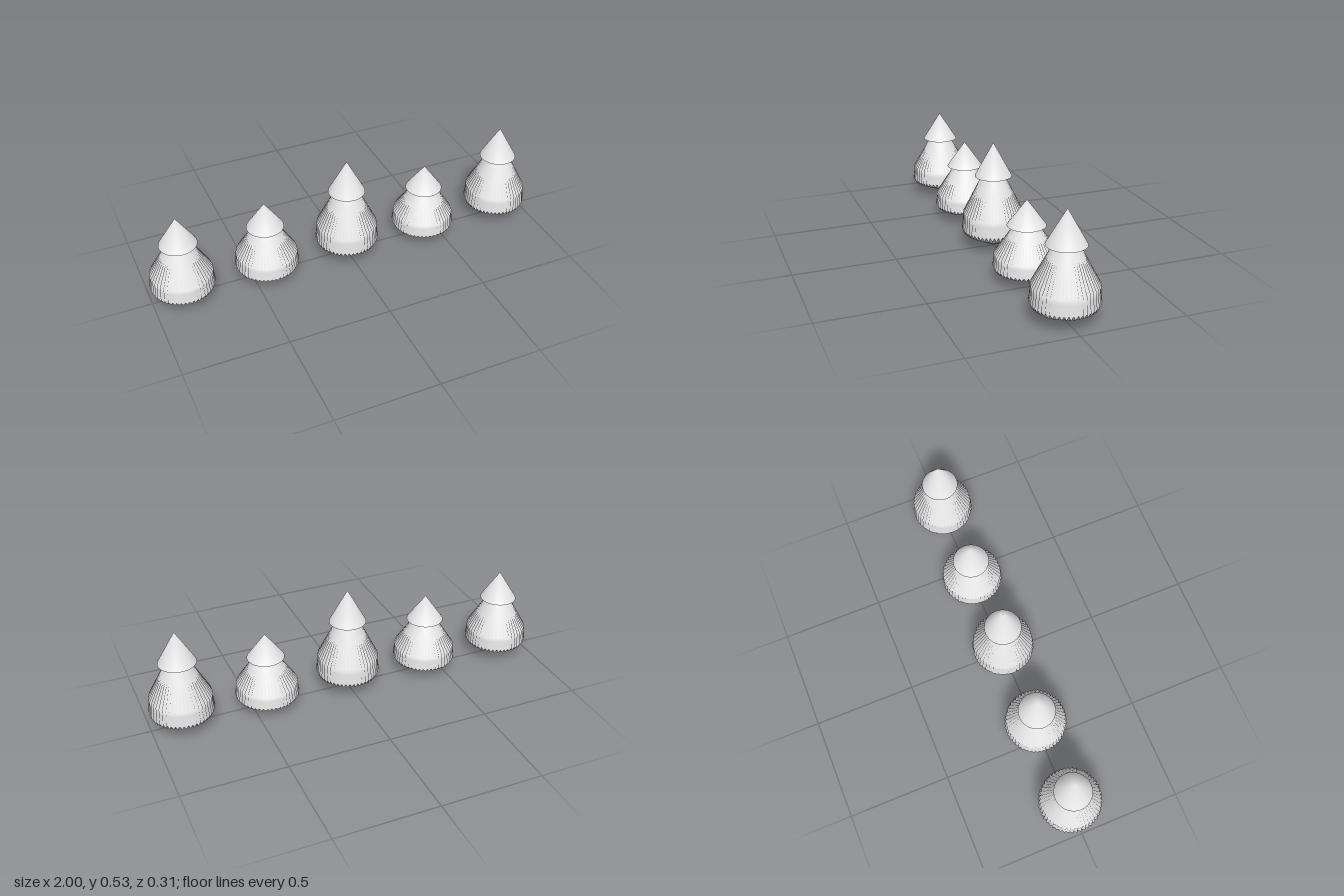
import * as THREE from 'three';
import { mergeVertices } from 'three/addons/utils/BufferGeometryUtils.js';

const TEETH = 48;

// Cross-sections, bottom to top: [valley radius, valley height, ridge radius, ridge height]
// Heights are fractions of the whole tree's height.
const RIM = [0.145, 0.14, 0.155, 0.184];
const UNDERSIDE = [[0, 0, 0, 0], RIM];
const SKIRT = [
  RIM,
  [0.141, 0.27, 0.149, 0.28],
  [0.141, 0.31, 0.149, 0.335],
  [0.052, 0.7, 0.052, 0.7],
];
const CONE = [[0.09, 0.686, 0.09, 0.686], [0, 1, 0, 1]];

// Rings of alternating valleys and ridges joined into one smooth surface
function ringSurface(rings, height) {
  const n = TEETH * 2;
  const point = (ring, i) => {
    const k = i % 2 ? 2 : 0;
    const a = ((i % n) / n) * Math.PI * 2;
    return [Math.sin(a) * ring[k], ring[k + 1] * height, Math.cos(a) * ring[k]];
  };
  const positions = [];
  for (let k = 0; k < rings.length - 1; k++) {
    for (let i = 0; i < n; i++) {
      const a = point(rings[k], i), b = point(rings[k], i + 1);
      const c = point(rings[k + 1], i), d = point(rings[k + 1], i + 1);
      // Mirrored diagonals keep the two flanks of each pleat alike
      if (i % 2) positions.push(...a, ...b, ...d, ...a, ...d, ...c);
      else positions.push(...a, ...b, ...c, ...b, ...d, ...c);
    }
  }
  const soup = new THREE.BufferGeometry();
  soup.setAttribute('position', new THREE.Float32BufferAttribute(positions, 3));
  const geometry = mergeVertices(soup, 1e-5);
  geometry.computeVertexNormals();
  return geometry;
}

export function createModel() {
  const group = new THREE.Group();
  group.name = 'treeRow';
  const paleGrey = new THREE.MeshStandardMaterial({ color: 0xe7e7e7 });
  paleGrey.name = 'paleGrey';

  // Five trees in a row, differing only in height
  const heights = [0.455, 0.412, 0.533, 0.392, 0.505];
  heights.forEach((height, i) => {
    const tree = new THREE.Group();
    tree.name = `tree${i + 1}`;
    tree.position.x = (i - 2) * 0.4225;
    const add = (name, geometry) => {
      const mesh = new THREE.Mesh(geometry, paleGrey);
      mesh.name = name;
      tree.add(mesh);
      return mesh;
    };

    // Pleated body with a shallow pointed underside
    add('underside', ringSurface(UNDERSIDE, height));
    add('pleatedSkirt', ringSurface(SKIRT, height));

    // Smooth cone on top, overhanging the body, with a flat base
    add('topCone', ringSurface(CONE, height));
    const base = add('topConeBase', new THREE.CircleGeometry(0.09, TEETH * 2));
    base.rotation.x = Math.PI / 2;
    base.position.y = CONE[0][1] * height;

    group.add(tree);
  });
  return group;
}
